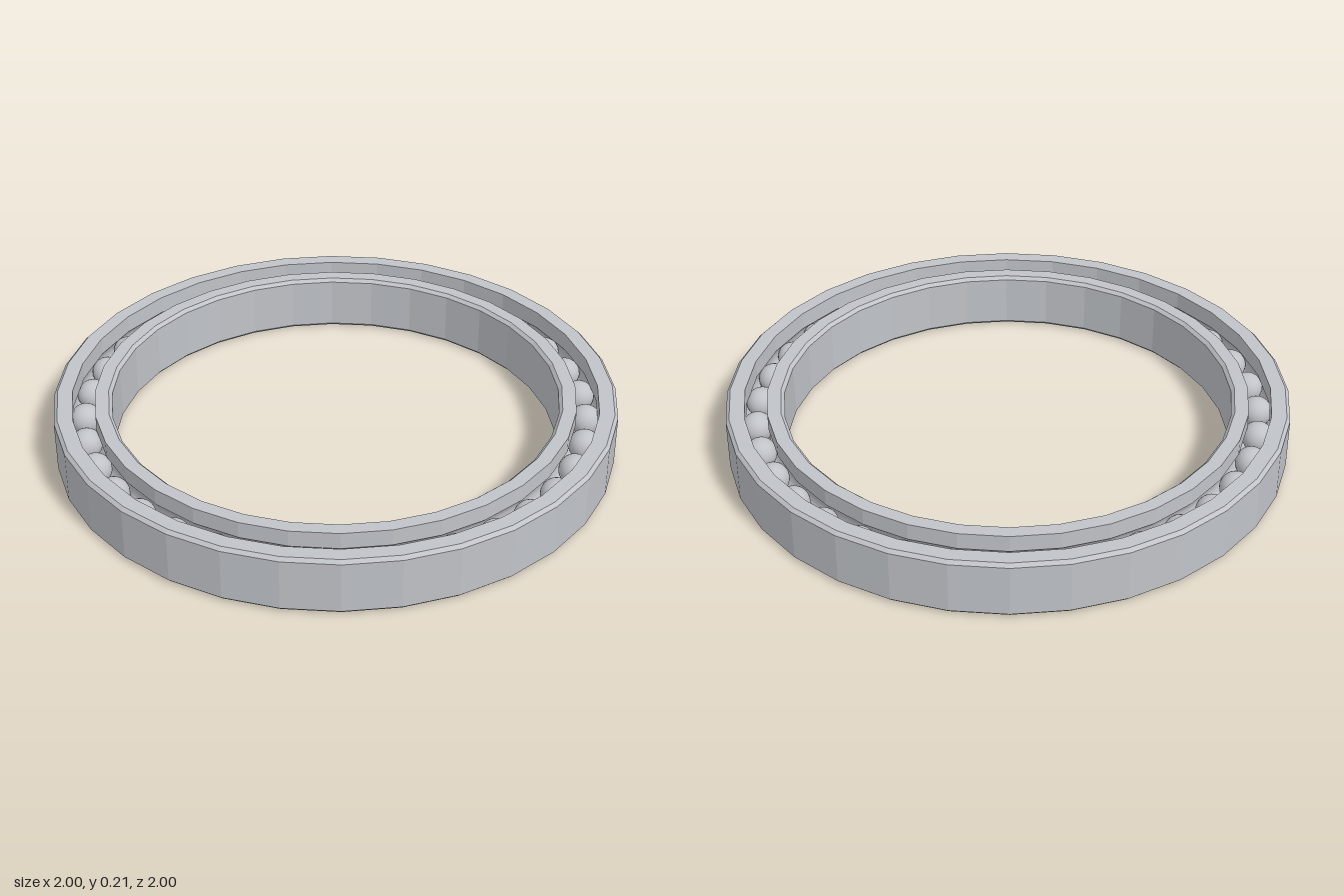
import * as THREE from 'three';

const HEIGHT = 0.21, CHAMFER = 0.012, SEGMENTS = 32;
const PITCH = 0.893, BALL_COUNT = 35, BALL_RADIUS = 0.056, GROOVE_RADIUS = 0.059;

// Bearing ring: chamfered on its plain wall, with a round ball groove in its raceway wall
function makeRing(name, plainR, raceR, material) {
  const side = Math.sign(plainR - raceR); // +1 outer ring, -1 inner ring
  const c = CHAMFER * side;
  const profile = [
    [raceR, 0], [plainR - c, 0], [plainR, CHAMFER],
    [plainR, HEIGHT - CHAMFER], [plainR - c, HEIGHT], [raceR, HEIGHT],
  ];
  const half = Math.acos(Math.abs(raceR - PITCH) / GROOVE_RADIUS);
  const steps = 8;
  for (let i = 0; i <= steps; i++) {
    const a = half - (2 * half * i) / steps;
    profile.push([
      PITCH + side * GROOVE_RADIUS * Math.cos(a),
      HEIGHT / 2 + GROOVE_RADIUS * Math.sin(a),
    ]);
  }
  profile.push([raceR, 0]);
  if (side < 0) profile.reverse(); // keep faces pointing out of the metal
  const points = profile.map(([r, y]) => new THREE.Vector2(r, y));
  const ring = new THREE.Mesh(new THREE.LatheGeometry(points, SEGMENTS), material);
  ring.name = name;
  return ring;
}

export function createModel() {
  const model = new THREE.Group();
  model.name = 'ballBearing';

  const ringSteel = new THREE.MeshStandardMaterial({ color: 0xc0c3c8, flatShading: true });
  ringSteel.name = 'ring steel';
  const ballSteel = new THREE.MeshStandardMaterial({ color: 0xc0c3c8 });
  ballSteel.name = 'ball steel';

  model.add(makeRing('outerRing', 1, 0.935, ringSteel));
  model.add(makeRing('innerRing', 0.795, 0.855, ringSteel));

  // Balls evenly spaced along the pitch circle
  const balls = new THREE.Group();
  balls.name = 'balls';
  const ballGeometry = new THREE.SphereGeometry(BALL_RADIUS, 24, 16);
  for (let i = 0; i < BALL_COUNT; i++) {
    const a = (i / BALL_COUNT) * Math.PI * 2;
    const ball = new THREE.Mesh(ballGeometry, ballSteel);
    ball.name = 'ball';
    ball.position.set(PITCH * Math.cos(a), HEIGHT / 2, PITCH * Math.sin(a));
    balls.add(ball);
  }
  model.add(balls);
  return model;
}
